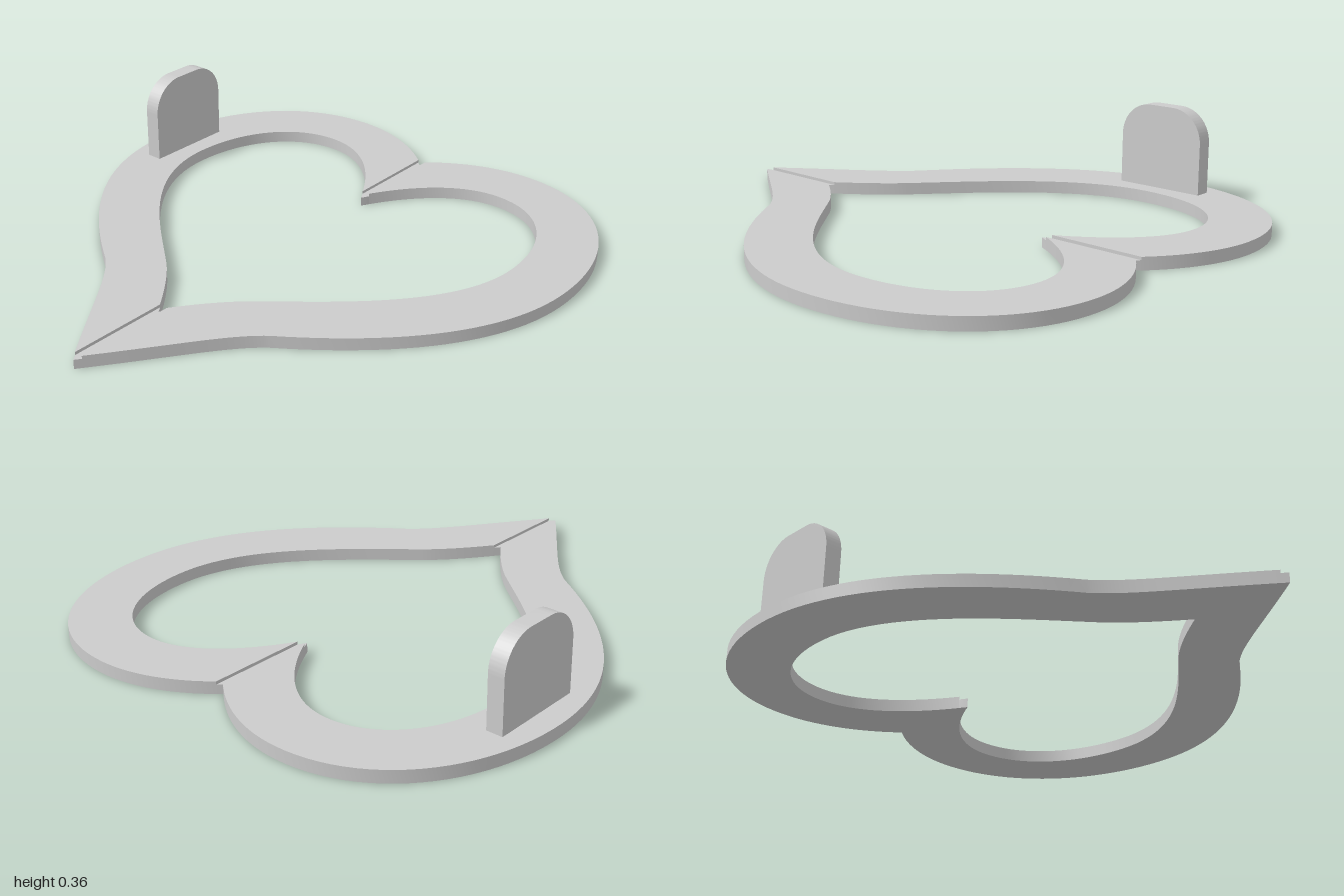
import * as THREE from 'three';
import { toCreasedNormals } from 'three/addons/utils/BufferGeometryUtils.js';

const HEIGHT = 0.045, GROOVE_FLOOR = 0.034, GROOVE = 0.016;
const material = new THREE.MeshStandardMaterial({ color: 0xcccccc });

// One half of a heart outline, back notch to front tip, as (x, z) points
function halfHeart(start, curves) {
  const path = new THREE.Path().moveTo(...start);
  curves.forEach((c) => path.bezierCurveTo(...c));
  return path.getPoints(24);
}

// Trim the half outline where it meets the centre groove
function trim(points) {
  const inside = points.filter((p) => p.x > GROOVE);
  const cut = (a, b) => a.clone().lerp(b, (GROOVE - a.x) / (b.x - a.x));
  const i = points.indexOf(inside[0]);
  const j = points.indexOf(inside[inside.length - 1]);
  return [cut(points[i - 1], points[i]), ...inside, cut(points[j], points[j + 1])];
}

// Flat plate from (x, z) points, standing on y = 0
function plate(name, points, height) {
  const shape = new THREE.Shape(points.map((p) => new THREE.Vector2(p.x, -p.y)));
  const geometry = new THREE.ExtrudeGeometry(shape, { depth: height, bevelEnabled: false });
  geometry.rotateX(-Math.PI / 2);
  const mesh = new THREE.Mesh(toCreasedNormals(geometry, 0.5), material);
  mesh.name = name;
  return mesh;
}

export function createModel() {
  const model = new THREE.Group();
  model.name = 'heartFrame';

  const outer = halfHeart([0, -0.835], [
    [0.11, -0.935, 0.25, -1, 0.4, -1],
    [0.73, -1, 0.957, -0.72, 0.957, -0.35],
    [0.957, 0, 0.72, 0.28, 0.38, 0.51],
    [0.28, 0.59, 0.2, 0.73, 0, 0.995],
  ]);
  const inner = halfHeart([0, -0.455], [
    [0.09, -0.63, 0.23, -0.785, 0.4, -0.785],
    [0.6, -0.785, 0.737, -0.6, 0.737, -0.35],
    [0.737, -0.02, 0.4, 0.22, 0.2, 0.39],
    [0.13, 0.45, 0.06, 0.54, 0, 0.625],
  ]);
  const outerCut = trim(outer), innerCut = trim(inner);

  // Two mirrored halves of the frame
  const half = [...outerCut, ...[...innerCut].reverse()];
  for (const [name, side] of [['leftHalf', 1], ['rightHalf', -1]]) {
    model.add(plate(name, half.map((p) => new THREE.Vector2(p.x * side, p.y)), HEIGHT));
  }

  // Thinner strips join the halves and form the groove floor
  const last = (a) => a[a.length - 1];
  const flip = (p) => new THREE.Vector2(-p.x, p.y);
  const strip = (name, a, aSide, b, bSide) =>
    model.add(plate(name, [a, aSide, bSide, b, flip(bSide), flip(aSide)], GROOVE_FLOOR));
  strip('backHinge', outer[0], outerCut[0], inner[0], innerCut[0]);
  strip('frontHinge', last(outer), last(outerCut), last(inner), last(innerCut));

  // Upright tab with rounded top corners
  const w = 0.175, top = 0.36, r = 0.125;
  const tabShape = new THREE.Shape()
    .moveTo(-w, HEIGHT)
    .lineTo(w, HEIGHT)
    .lineTo(w, top - r)
    .absarc(w - r, top - r, r, 0, Math.PI / 2)
    .absarc(r - w, top - r, r, Math.PI / 2, Math.PI)
    .closePath();
  const tabGeometry = new THREE.ExtrudeGeometry(tabShape, { depth: 0.06, bevelEnabled: false, curveSegments: 16 });
  tabGeometry.rotateY(Math.PI / 2);
  const tab = new THREE.Mesh(toCreasedNormals(tabGeometry, 0.5), material);
  tab.name = 'tab';
  tab.position.set(-0.87, 0, -0.355);
  model.add(tab);

  return model;
}
